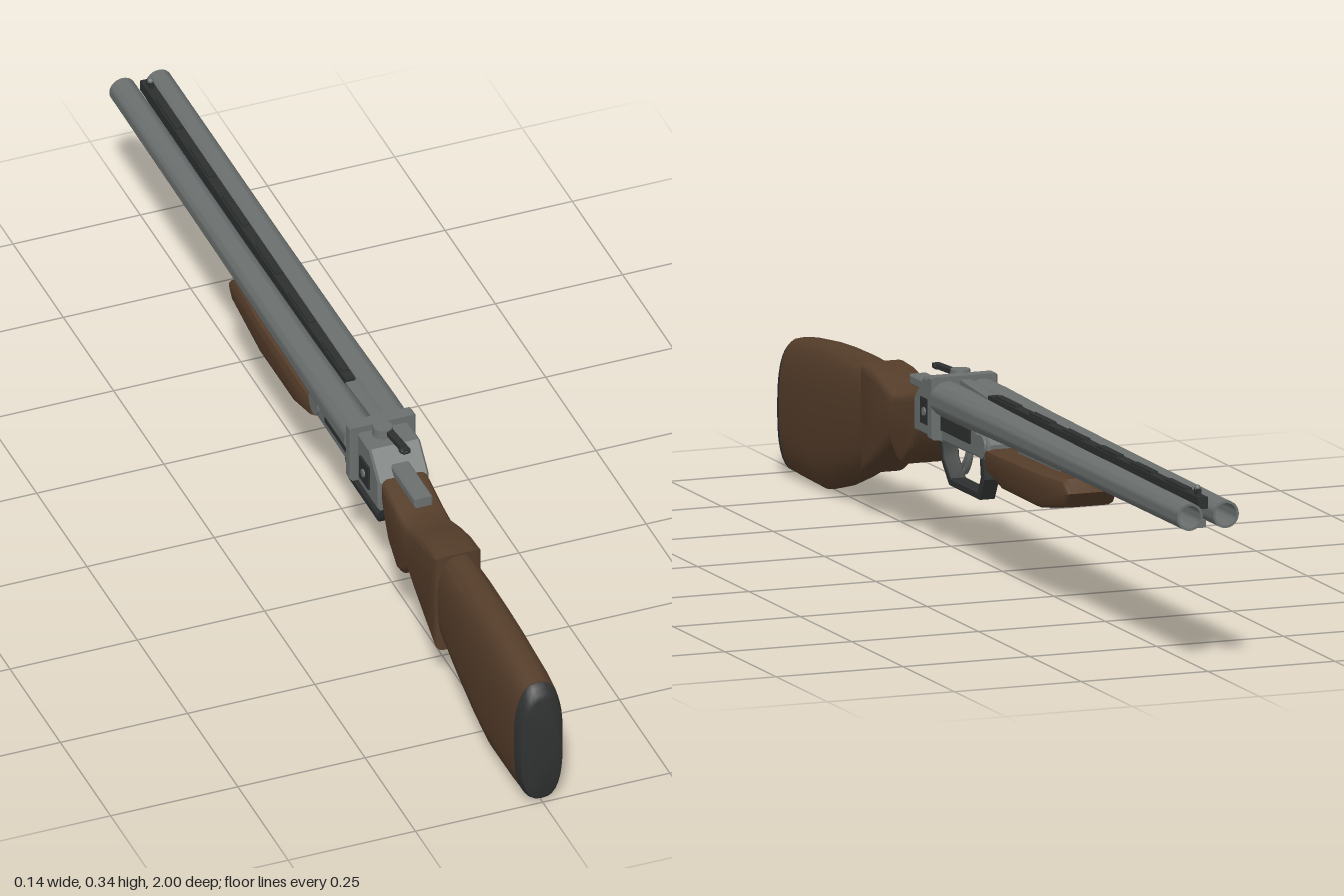
import * as THREE from 'three';
import { toCreasedNormals } from 'three/addons/utils/BufferGeometryUtils.js';

const mat = (name, color, side = THREE.FrontSide) => {
  const m = new THREE.MeshStandardMaterial({ color, side });
  m.name = name;
  return m;
};

export function createModel() {
  const root = new THREE.Group();
  root.name = 'doubleBarrelShotgun';
  const wood = mat('walnut', 0x553d2a);
  const metal = mat('greySteel', 0x6b706f);
  const dark = mat('darkSteel', 0x2d3030);
  const rubber = mat('rubber', 0x303131);

  const add = (name, geo, material, x = 0, y = 0, z = 0) => {
    const m = new THREE.Mesh(geo, material);
    m.name = name;
    m.position.set(x, y, z);
    root.add(m);
    return m;
  };
  const box = (name, material, w, h, d, x, y, z) =>
    add(name, new THREE.BoxGeometry(w, h, d), material, x, y, z);

  // Side profile of [z, y] points, extruded across x with bevelled edges
  const slab = (name, pts, halfW, bevel, material, segs = 2) => {
    const shape = new THREE.Shape(pts.map(p => new THREE.Vector2(p[0], p[1])));
    const geo = new THREE.ExtrudeGeometry(shape, {
      depth: 2 * (halfW - bevel), bevelEnabled: bevel > 0, bevelSize: bevel,
      bevelThickness: bevel, bevelOffset: -bevel, bevelSegments: segs,
    });
    geo.translate(0, 0, -(halfW - bevel));
    geo.rotateY(-Math.PI / 2);
    return add(name, toCreasedNormals(geo, 0.6), material);
  };

  // Rounded sections [z, top, bottom, halfWidth], listed from back to front
  const loft = (name, rings, material, power = 2.7, n = 32) => {
    const pos = [], idx = [];
    const e = 2 / power;
    const bend = v => Math.sign(v) * Math.abs(v) ** e;
    for (const [z, top, bottom, w] of rings) {
      for (let j = 0; j < n; j++) {
        const a = (j / n) * Math.PI * 2;
        pos.push(w * bend(Math.cos(a)),
          (top + bottom) / 2 + ((top - bottom) / 2) * bend(Math.sin(a)), z);
      }
    }
    for (let i = 0; i < rings.length - 1; i++) {
      for (let j = 0; j < n; j++) {
        const a = i * n + j, b = i * n + (j + 1) % n;
        idx.push(a, a + n, b, b, a + n, b + n);
      }
    }
    const last = (rings.length - 1) * n;
    for (let j = 1; j < n - 1; j++) {
      idx.push(0, j, j + 1, last, last + j + 1, last + j);
    }
    const geo = new THREE.BufferGeometry();
    geo.setAttribute('position', new THREE.Float32BufferAttribute(pos, 3));
    geo.setIndex(idx);
    return add(name, toCreasedNormals(geo, 0.6), material);
  };

  // Buttstock and recoil pad
  loft('buttstock', [
    [0.976, 0.258, 0.008, 0.046], [0.93, 0.267, 0.006, 0.048],
    [0.82, 0.279, 0.004, 0.048], [0.75, 0.283, 0.022, 0.047],
    [0.66, 0.285, 0.055, 0.045], [0.57, 0.283, 0.092, 0.041],
  ], wood);
  loft('recoilPad', [
    [1, 0.23, 0.022, 0.033], [0.996, 0.242, 0.011, 0.041],
    [0.986, 0.252, 0.007, 0.045], [0.974, 0.257, 0.007, 0.0465],
  ], rubber);

  // Wrist with pistol grip
  slab('grip', [
    [0.585, 0.08], [0.52, 0.115], [0.47, 0.145], [0.44, 0.165], [0.41, 0.138],
    [0.385, 0.135], [0.34, 0.17], [0.318, 0.21], [0.308, 0.24], [0.308, 0.28],
    [0.34, 0.275], [0.39, 0.262], [0.43, 0.256], [0.48, 0.272], [0.53, 0.284], [0.585, 0.287],
  ].reverse(), 0.046, 0.013, wood, 3);

  // Receiver body, breech plate and action bar
  slab('receiver', [
    [0.31, 0.215], [0.31, 0.275], [0.265, 0.322], [0.185, 0.322], [0.185, 0.215],
  ], 0.05, 0.004, metal, 1);
  slab('breechPlate', [
    [0.208, 0.218], [0.208, 0.335], [0.182, 0.335], [0.182, 0.218],
  ], 0.065, 0.004, metal, 1);
  slab('actionBar', [
    [0.19, 0.215], [0.19, 0.27], [0.03, 0.27], [0.01, 0.264],
    [-0.03, 0.264], [-0.045, 0.25], [-0.045, 0.23], [-0.03, 0.218],
  ], 0.046, 0.004, metal, 1);
  slab('tang', [
    [0.41, 0.278], [0.41, 0.297], [0.29, 0.297], [0.29, 0.278],
  ], 0.018, 0.003, metal, 1);
  for (const s of [-1, 1]) {
    box('sidePanel', dark, 0.008, 0.026, 0.14, s * 0.045, 0.25, 0.11);
    box('lockPlate', dark, 0.008, 0.048, 0.045, s * 0.05, 0.26, 0.247);
    const pin = new THREE.CylinderGeometry(0.008, 0.008, 0.012, 12).rotateZ(Math.PI / 2);
    add('lockPin', pin, metal, s * 0.051, 0.26, 0.247);
    const knuckle = new THREE.CylinderGeometry(0.022, 0.022, 0.01, 20).rotateZ(Math.PI / 2);
    add('hingeKnuckle', knuckle, metal, s * 0.045, 0.242, -0.015);
  }

  // Opening lever on top
  const pivot = new THREE.CylinderGeometry(0.018, 0.02, 0.02, 16);
  add('leverPivot', pivot, metal, -0.008, 0.329, 0.225);
  const lever = box('openingLever', dark, 0.014, 0.009, 0.095, 0.002, 0.332, 0.262);
  lever.rotation.y = 0.1;
  add('leverTip', new THREE.SphereGeometry(0.011, 12, 8).scale(1, 0.6, 1), dark, 0.005, 0.331, 0.3);

  // Hollow tapered barrels
  const profile = [
    [0, -0.185], [0.033, -0.185], [0.033, -0.1], [0.0295, 0.12], [0.027, 0.45],
    [0.0255, 0.97], [0.0255, 1], [0.021, 1], [0.021, 0.7], [0, 0.7],
  ].map(p => new THREE.Vector2(p[0], p[1]));
  for (const s of [-1, 1]) {
    const geo = new THREE.LatheGeometry(profile, 28).rotateX(-Math.PI / 2);
    add('barrel', toCreasedNormals(geo, 0.6), metal, s * 0.0355, 0.294, 0);
  }

  // Ribs between the barrels, with sights
  box('topRib', dark, 0.02, 0.022, 1.02, 0, 0.313, -0.465);
  for (let i = 0; i < 6; i++) {
    box('ribStep', dark, 0.014, 0.006, 0.1, 0, 0.325, -0.03 - i * 0.165);
  }
  box('lowerRib', metal, 0.016, 0.014, 1.1, 0, 0.273, -0.42);
  slab('rearRibWedge', [
    [0.19, 0.29], [0.19, 0.328], [0.04, 0.318], [0.04, 0.29],
  ], 0.01, 0, metal);
  box('frontSightPost', dark, 0.008, 0.014, 0.016, 0, 0.329, -0.95);
  add('frontSightBead', new THREE.SphereGeometry(0.006, 12, 8), metal, 0, 0.337, -0.95);

  // Forend under the barrels
  slab('forend', [
    [-0.028, 0.242], [-0.028, 0.203], [-0.115, 0.18], [-0.285, 0.179],
    [-0.42, 0.204], [-0.445, 0.234], [-0.41, 0.255], [-0.3, 0.247],
  ].reverse(), 0.052, 0.014, wood, 2);
  box('forendLatch', metal, 0.034, 0.008, 0.15, 0, 0.178, -0.205);
  box('forendMount', metal, 0.02, 0.04, 0.2, 0, 0.255, -0.2);

  // Trigger guard as a bent strap
  const outer = [[0.273, 0.218], [0.262, 0.165], [0.222, 0.124], [0.075, 0.124], [0.053, 0.165], [0.06, 0.218]];
  const inner = [[0.075, 0.218], [0.068, 0.168], [0.083, 0.138], [0.216, 0.138], [0.248, 0.17], [0.258, 0.218]];
  slab('triggerGuard', [...outer, ...inner], 0.016, 0.002, dark, 1);

  // Two curved triggers
  for (const [x, z] of [[-0.01, 0.195], [0.01, 0.14]]) {
    const curve = new THREE.CatmullRomCurve3([
      [0, 0.22, -0.012], [0, 0.195, -0.008], [0, 0.175, 0.003], [0, 0.162, 0.016],
    ].map(p => new THREE.Vector3(...p)));
    add('trigger', new THREE.TubeGeometry(curve, 10, 0.006, 8), metal, x, 0, z);
    add('triggerTip', new THREE.SphereGeometry(0.006, 8, 6), metal, x, 0.162, z + 0.016);
  }
  return root;
}
